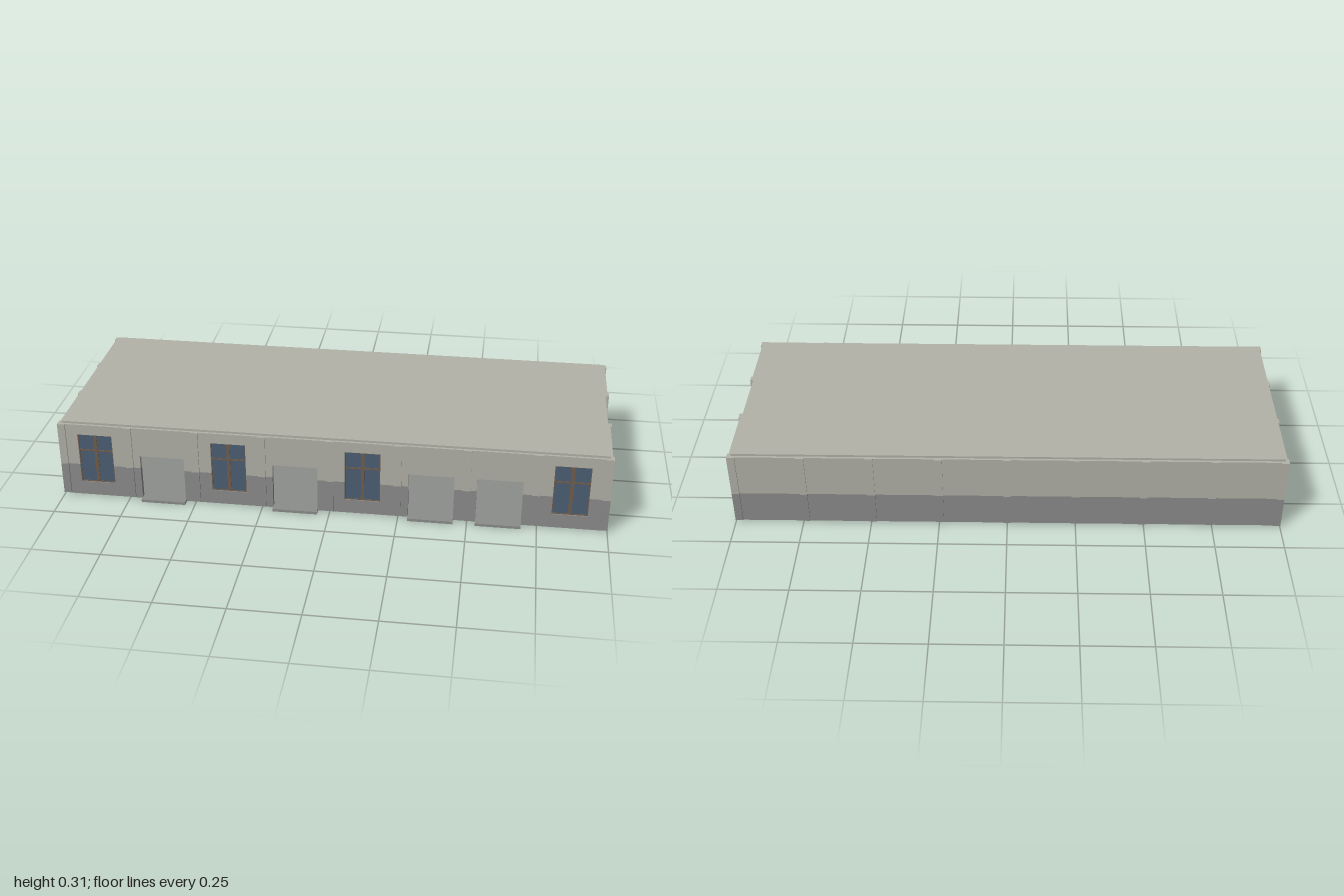
import * as THREE from 'three';

const mat = (name, color) => {
  const m = new THREE.MeshStandardMaterial({ color });
  m.name = name;
  return m;
};

// heights of the floor, the paint line and the wall top
const Y0 = 0.01, YP = 0.133, Y1 = 0.297;
// centre lines of the outer walls and the pillar spacing
const XE = 0.986, ZF = 0.3625, ZB = -0.3765, STEP = 0.2465;
const THICK = 0.018, PILLAR = 0.028;

export function createModel() {
  const model = new THREE.Group();
  model.name = 'building';
  const plaster = mat('light plaster', 0xb3b2a8);
  const grey = mat('grey paint', 0x8b8d8b);
  const wood = mat('brown wood', 0x745e4c);
  const glass = mat('blue glass', 0x4d6075);

  const box = (parent, name, m, x0, x1, y0, y1, z0, z1) => {
    const mesh = new THREE.Mesh(new THREE.BoxGeometry(x1 - x0, y1 - y0, z1 - z0), m);
    mesh.position.set((x0 + x1) / 2, (y0 + y1) / 2, (z0 + z1) / 2);
    mesh.name = name;
    parent.add(mesh);
    return mesh;
  };

  const slab = (parent, name, m, points) => {
    const shape = new THREE.Shape(points.map(([x, y]) => new THREE.Vector2(x, y)));
    const g = new THREE.ExtrudeGeometry(shape, { depth: THICK, bevelEnabled: false });
    g.translate(0, 0, -THICK / 2);
    const mesh = new THREE.Mesh(g, m);
    mesh.name = name;
    parent.add(mesh);
  };

  // Two-tone wall along local x; openings are [x0, x1, bottom, top] sorted by x
  const wall = (name, a, b, openings = []) => {
    const g = new THREE.Group();
    g.name = name;
    const upper = [[a, YP]];
    for (const [x0, x1, , top] of openings) upper.push([x0, YP], [x0, top], [x1, top], [x1, YP]);
    upper.push([b, YP], [b, Y1], [a, Y1]);
    slab(g, 'upperWall', plaster, upper);

    // doors split the lower band, windows notch its top edge
    let start = a, notches = [];
    const close = (end) => {
      const top = notches.flatMap(([x0, x1, sill]) => [[x0, YP], [x0, sill], [x1, sill], [x1, YP]]);
      const pts = [[start, YP], ...top, [end, YP], [end, Y0], [start, Y0]];
      slab(g, 'lowerWall', grey, pts.reverse());
    };
    for (const o of openings) {
      if (o[2] > Y0) notches.push(o);
      else {
        close(o[0]);
        start = o[1];
        notches = [];
      }
    }
    close(b);
    model.add(g);
    return g;
  };

  // Floor and roof
  box(model, 'floorSlab', grey, -XE, XE, 0, Y0, ZB, ZF);
  box(model, 'roofSlab', plaster, -XE, XE, Y1, 0.305, ZB, ZF);

  // Front wall with four entrances and four windows
  const entrances = [-0.618, -0.126, 0.368, 0.612].map((x) => [x - 0.082, x + 0.082, Y0, 0.183]);
  const windows = [-0.865, -0.37, 0.12, 0.863].map((x) => [x - 0.064, x + 0.064, 0.06, 0.257]);
  const openings = [...entrances, ...windows].sort((p, q) => p[0] - q[0]);
  wall('frontWall', -XE, XE, openings).position.z = ZF;

  // Entrance steps
  for (const [x0, x1] of entrances) box(model, 'entranceStep', grey, x0, x1, 0, Y0, ZF, 0.392);

  // Windows: four panes behind thin wooden bars
  for (const [x0, x1, y0, y1] of windows) {
    const w = new THREE.Group();
    w.name = 'window';
    w.position.z = ZF;
    const xm = (x0 + x1) / 2;
    box(w, 'pane', glass, x0, x1, y0, y1, -0.002, 0.002);
    box(w, 'mullion', wood, xm - 0.006, xm + 0.006, y0, y1, -0.005, 0.005);
    box(w, 'transom', wood, x0, x1, 0.188, 0.194, -0.004, 0.004);
    for (const x of [x0, x1 - 0.003]) box(w, 'frameSide', wood, x, x + 0.003, y0, y1, -0.005, 0.005);
    for (const y of [y0, y1 - 0.003]) box(w, 'frameEdge', wood, x0, x1, y, y + 0.003, -0.005, 0.005);
    model.add(w);
  }

  // Back wall and left and right ends (right end is open in its middle bay)
  const end = (name, x, z0, z1, holes) => {
    const g = wall(name, -z1, -z0, holes);
    g.rotation.y = Math.PI / 2;
    g.position.x = x;
  };
  wall('backWall', -XE, XE).position.z = ZB;
  end('rightEndWall', -XE, ZB, ZF);
  end('leftEndFrontBay', XE, 0.115, ZF);
  end('leftEndBackBay', XE, ZB, -0.131, [[0.211, 0.296, Y0, 0.182]]);
  box(model, 'endDoor', wood, XE - 0.004, XE + 0.004, Y0, 0.182, -0.296, -0.211);

  // Inner partitions: a corridor along the back and rooms along the front
  const doors = [-0.622, -0.128, 0.367, 0.612].map((x) => [x - 0.043, x + 0.043, Y0, 0.182]);
  wall('corridorWall', -XE, XE, doors).position.z = -0.131;
  for (const [x0, x1, y0, y1] of doors) {
    box(model, 'roomDoor', wood, x0, x1, y0, y1, -0.135, -0.127);
  }
  for (const x of [-2, 0, 2]) end('roomPartition', x * STEP, -0.131, ZF);

  // Pillars on a regular grid around the outside, painted like the walls
  const pillar = (x, z) => {
    const h = PILLAR / 2;
    box(model, 'pillarBase', grey, x - h, x + h, Y0, YP, z - h, z + h);
    box(model, 'pillarTop', plaster, x - h, x + h, YP, Y1, z - h, z + h);
  };
  for (let i = -4; i <= 4; i++) for (const z of [ZF, ZB]) pillar(i * STEP, z);
  for (const x of [-XE, XE]) for (const z of [0.115, -0.131]) pillar(x, z);

  return model;
}
